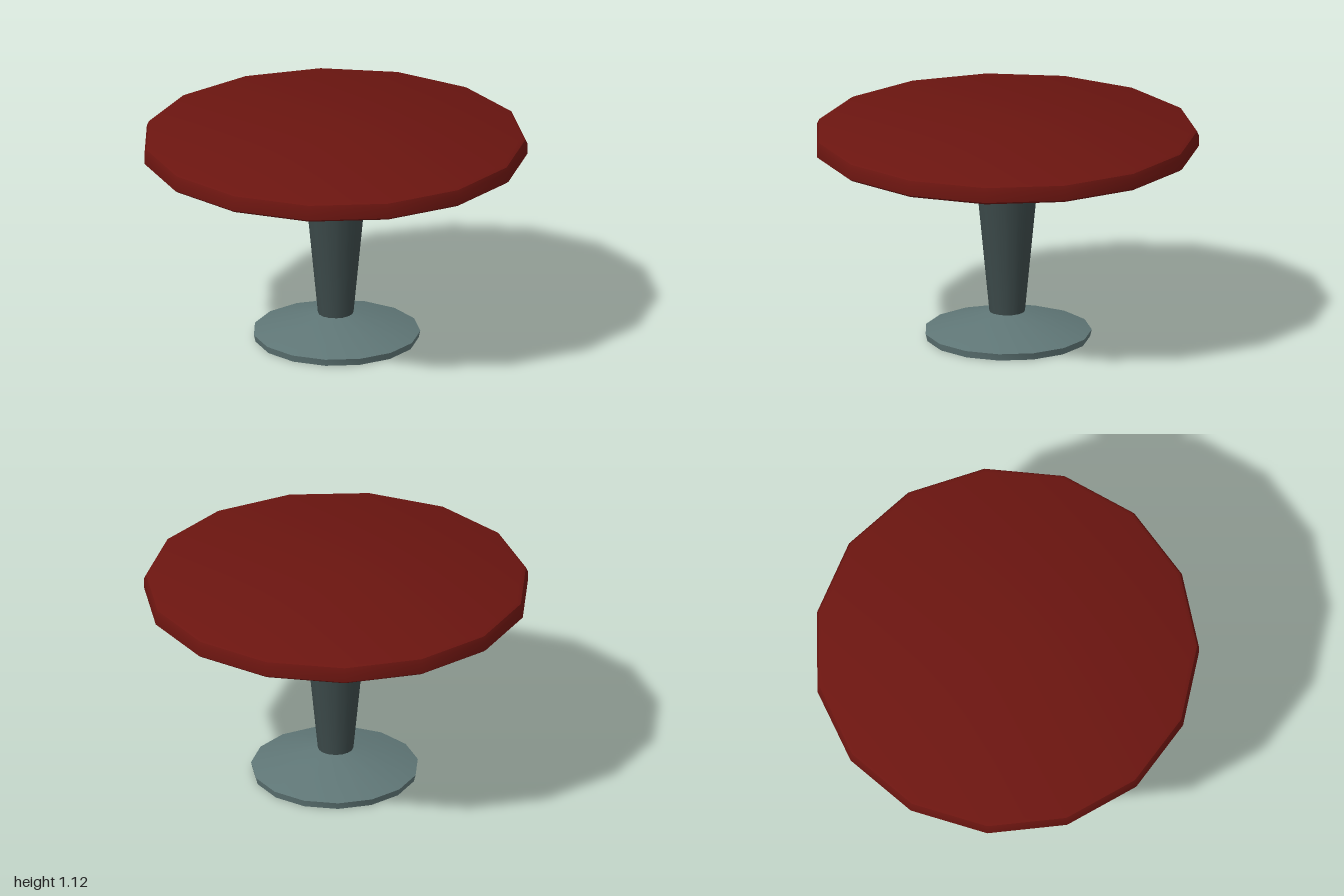
import * as THREE from 'three';
import { toCreasedNormals } from 'three/addons/utils/BufferGeometryUtils.js';

// Turned part from [radius, height] pairs listed bottom to top, first corner on +x
function turned(name, profile, sides, color, crease = 0.6) {
  const points = profile.map(([r, y]) => new THREE.Vector2(r, y));
  const lathe = new THREE.LatheGeometry(points, sides, Math.PI / 2);
  const mesh = new THREE.Mesh(
    toCreasedNormals(lathe, crease),
    new THREE.MeshStandardMaterial({ color })
  );
  mesh.name = name;
  return mesh;
}

export function createModel() {
  const group = new THREE.Group();
  group.name = 'pedestalTable';
  const red = 0x6b1510, dark = 0x0a0c0a, steel = 0x3c4a4a, pale = 0x5f7676;

  // Fifteen-sided top with a softened rim
  const top = turned('tableTop', [
    [0.99, 1.025], [1.0055, 1.037], [1.0055, 1.092],
    [0.995, 1.115], [0.975, 1.125], [0, 1.125]
  ], 15, red);

  // Dark underside closing the top
  const underside = turned('tableUnderside', [[0, 1.025], [0.99, 1.025]], 15, dark);
  top.position.x = underside.position.x = -0.011;

  // Tapered column flaring into a collar beneath the top
  const column = turned('column', [[0.092, 0.13], [0.171, 0.95]], 16, steel);
  const collar = turned('collar', [[0.171, 0.95], [0.258, 1.026]], 16, steel);
  column.position.x = collar.position.x = -0.002;

  // Shallow conical foot
  const foot = turned('foot', [
    [0, 0], [0.428, 0], [0.437, 0.037], [0.092, 0.14], [0, 0.14]
  ], 15, pale);
  foot.position.x = 0.004;

  group.add(top, underside, column, collar, foot);
  return group;
}
